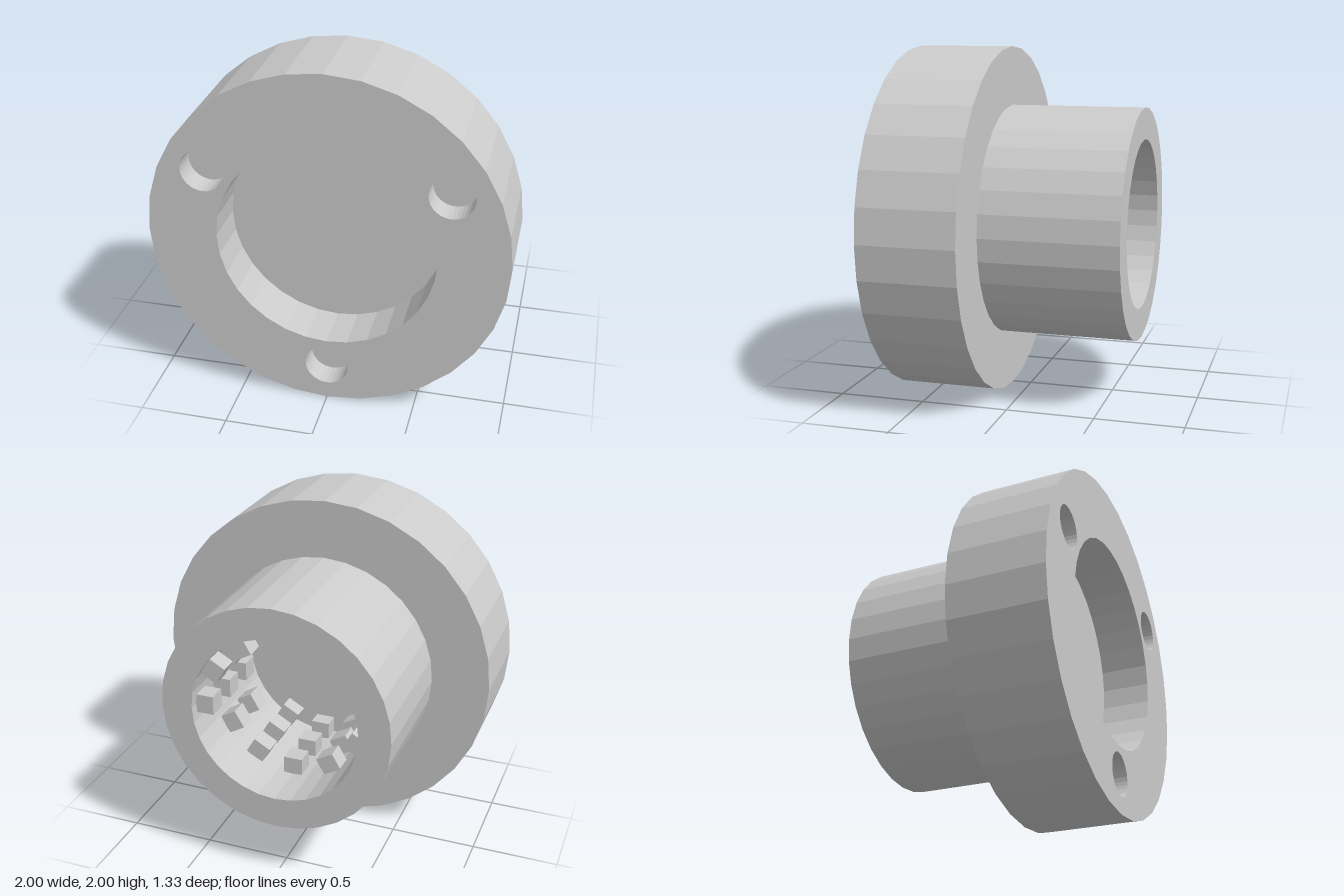
import * as THREE from 'three';

const SIDES = 32;
const FRONT = 0.665, STEP = 0.11, BACK = -0.665;
const RECESS_R = 0.61, RECESS_Z = 0.385;
const BORE_R = 0.484, BORE_Z = 0.15;
const HOLE_R = 0.123, HOLE_Z = 0.525, HOLE_RING = 0.775;

const material = new THREE.MeshStandardMaterial({ color: 0xcccccc, flatShading: true });

function add(parent, name, geometry) {
  const mesh = new THREE.Mesh(geometry, material);
  mesh.name = name;
  parent.add(mesh);
  return mesh;
}

// Surface of revolution about z from [radius, z] pairs
function turned(profile) {
  const points = profile.map(([r, z]) => new THREE.Vector2(r, z));
  return new THREE.LatheGeometry(points, SIDES).rotateX(Math.PI / 2);
}

// Regular polygon with a corner at the top
function ring(radius, cx = 0, cy = 0) {
  return Array.from({ length: SIDES }, (_, i) => {
    const a = Math.PI / 2 + (i / SIDES) * Math.PI * 2;
    return new THREE.Vector2(cx + radius * Math.cos(a), cy + radius * Math.sin(a));
  });
}

export function createModel() {
  const model = new THREE.Group();
  model.name = 'flangedSocket';
  const body = new THREE.Group();
  body.name = 'body';
  body.position.y = 1;
  model.add(body);

  // Barrel with rear bore, stepping out to the flange
  add(body, 'barrelAndFlange', turned([
    [0, BORE_Z], [BORE_R, BORE_Z], [BORE_R, BACK], [0.665, BACK],
    [0.665, STEP], [1, STEP], [1, FRONT],
  ]));

  // Shallow round recess in the front
  add(body, 'frontRecess', turned([[RECESS_R, FRONT], [RECESS_R, RECESS_Z], [0, RECESS_Z]]));

  // Front face, opened for the recess and three blind holes
  const face = new THREE.Shape(ring(1));
  face.holes.push(new THREE.Path(ring(RECESS_R)));
  for (const deg of [30, 150, 270]) {
    const a = THREE.MathUtils.degToRad(deg);
    const x = HOLE_RING * Math.cos(a), y = HOLE_RING * Math.sin(a);
    face.holes.push(new THREE.Path(ring(HOLE_R, x, y)));
    const hole = add(body, 'blindHole', turned([[HOLE_R, FRONT], [HOLE_R, HOLE_Z], [0, HOLE_Z]]));
    hole.position.set(x, y, 0);
  }
  add(body, 'frontFace', new THREE.ShapeGeometry(face).translate(0, 0, FRONT));

  // Rows of small blocks on the bore wall, every 30 degrees
  const blocks = new THREE.Group();
  blocks.name = 'boreBlocks';
  body.add(blocks);
  const blockGeometry = new THREE.BoxGeometry(0.11, 0.11, 0.11);
  for (let i = 0; i < 12; i++) {
    const a = (i * Math.PI) / 6;
    const first = i < 3 ? 0 : 1; // three rows sit nearer the opening
    const count = i === 11 ? 2 : 3;
    for (let k = first; k < first + count; k++) {
      const block = add(blocks, 'boreBlock', blockGeometry);
      block.position.set(0.435 * Math.cos(a), 0.435 * Math.sin(a), BACK + 0.11 + 0.222 * k);
      block.rotation.z = a;
    }
  }
  return model;
}
